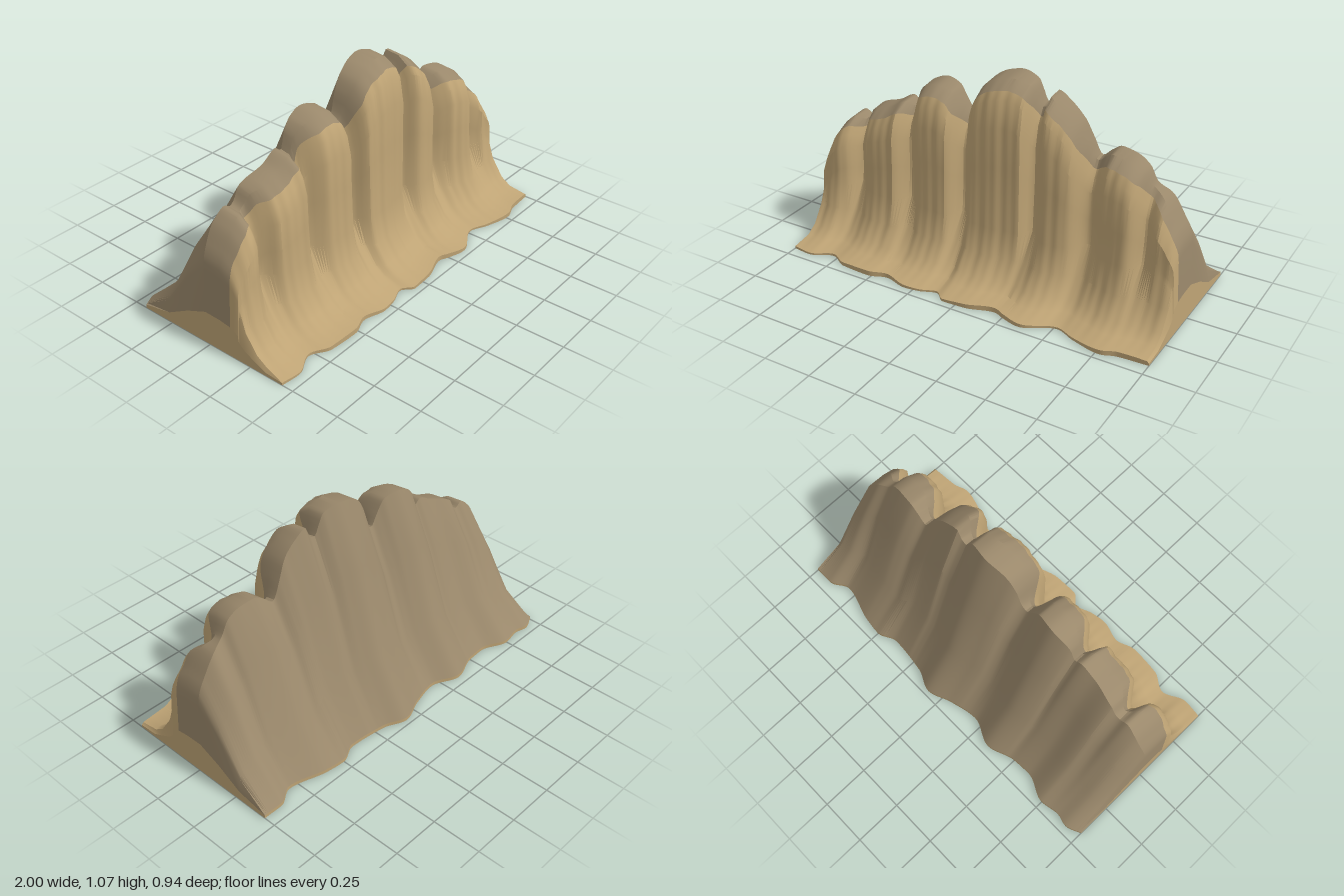
import * as THREE from 'three';
import { toCreasedNormals } from 'three/addons/utils/BufferGeometryUtils.js';

// Height of the ridge along x
const RIDGE = [[-1, .175], [-.985, .44], [-.95, .53], [-.9, .61], [-.84, .655], [-.8, .635], [-.775, .65], [-.74, .71],
  [-.6, .77], [-.52, .81], [-.48, .785], [-.45, .87], [-.4, .92], [-.32, .945], [-.25, .93], [-.2, .86], [-.16, .805],
  [-.13, .83], [-.1, .93], [-.05, 1.01], [.02, 1.05], [.1, 1.065], [.18, 1.045], [.21, .99], [.235, .94], [.265, .955],
  [.29, 1.01], [.36, .97], [.43, .9], [.47, .82], [.52, .73], [.57, .77], [.62, .8], [.7, .79], [.77, .75], [.81, .68],
  [.88, .63], [.94, .54], [.985, .44], [1, .175]];
// Wavy front and back edges of the foot
const FRONT = [[-1, .44], [-.9, .45], [-.78, .4], [-.68, .45], [-.52, .46], [-.42, .43], [-.3, .46], [-.22, .45], [-.13, .42],
  [-.07, .465], [.05, .46], [.2, .42], [.25, .44], [.35, .465], [.52, .39], [.62, .43], [.77, .465], [.85, .44], [1, .43]];
const BACK = [[-1, -.43], [-.92, -.46], [-.85, -.445], [-.75, -.46], [-.6, -.405], [-.5, -.41], [-.35, -.455], [-.2, -.4],
  [-.05, -.43], [.08, -.475], [.2, -.43], [.4, -.41], [.5, -.45], [.6, -.44], [.8, -.39], [.9, -.44], [1, -.44]];
// Crevices in the cliff face: deepest line, width to its left and right
const CREVICES = [[-.785, .06, .09], [-.475, .06, .09], [-.16, .065, .08], [.235, .05, .09], [.525, .09, .11], [.815, .06, .09]];

// Smooth curve through a key table that never overshoots its keys
function sample(keys, x) {
  let i = 0;
  while (i < keys.length - 2 && x > keys[i + 1][0]) i++;
  const slope = k => {
    const a = keys[Math.min(Math.max(k, 0), keys.length - 2)], b = keys[Math.min(Math.max(k, 0), keys.length - 2) + 1];
    return (b[1] - a[1]) / (b[0] - a[0]);
  };
  const tangent = k => {
    const a = slope(k - 1), b = slope(k);
    return a * b <= 0 ? 0 : 2 * a * b / (a + b);
  };
  const [x0, y0] = keys[i], [x1, y1] = keys[i + 1];
  const h = x1 - x0, t = (x - x0) / h, u = 1 - t;
  return y0 * (1 + 2 * t) * u * u + y1 * t * t * (3 - 2 * t) + h * t * u * (u * tangent(i) - t * tangent(i + 1));
}

// 0..1 depth of the crevices
function crevice(x) {
  let n = 0;
  for (const [c, left, right] of CREVICES) {
    const d = x - c;
    n = Math.max(n, 1 - (d < 0 ? -d / left : d / right));
  }
  return n * n * (3 - 2 * n);
}

// Cross-section at x from the front foot over the ridge to the back foot
function section(x) {
  const T = sample(RIDGE, x);
  const front = sample(FRONT, x), back = sample(BACK, x);
  const fw = front - .445, bw = back + .435;
  const ripple = .003 * Math.sin(x * 47) + .002 * Math.sin(x * 113);
  const n = crevice(x);
  const lip = Math.min(.018 + .008 * Math.sin(x * 9), T * .07);
  const drop = .05 * Math.min(1, T * 1.3), top = T - drop;
  const cut = y => THREE.MathUtils.smoothstep(y, .1, .36) * .075 * n;
  const P = (z, y) => [x, y, z];
  // z, y and how far each point follows the wave of the foot
  const face = [
    [.345, Math.min(.038, T * .1), .95], [.288, Math.min(.075, T * .24), .85], [.223, Math.min(.17, T * .42), .7],
    [.197, Math.min(.31, T * .55), .55], [.188, T * .6, .45], [.184, T * .79, .4],
    [.162, T - .09 * Math.min(1, T * 1.4), .4], [.138, top, .4],
  ].map(([z, y, w]) => P(z + fw * w + ripple - cut(y), y));
  const ridge = P(-.02 + bw * .4, T);
  const heel = P(back, .018);
  return {
    foot: [P(front, 0), P(front, lip)],
    cliff: [P(front, lip), ...face],
    crown: [face[face.length - 1], P(.075 + fw * .3 - cut(T) * .5, T - drop * .2), ridge],
    slope: [ridge, P(-.14 + bw * .5, T * .71), P(-.27 + bw * .6, T * .29), heel],
    heel: [heel, P(back, 0)],
    base: [P(back, 0), P(front, 0)],
  };
}

// Skins a grid of points, rows[i][j]
function skin(name, rows, material, crease = .5) {
  const m = rows[0].length, index = [];
  for (let i = 0; i < rows.length - 1; i++) {
    for (let j = 0; j < m - 1; j++) {
      const a = i * m + j, b = a + m;
      index.push(a, b, b + 1, a, b + 1, a + 1);
    }
  }
  const g = new THREE.BufferGeometry();
  g.setAttribute('position', new THREE.Float32BufferAttribute(rows.flat(2), 3));
  g.setIndex(index);
  const mesh = new THREE.Mesh(toCreasedNormals(g, crease), material);
  mesh.name = name;
  return mesh;
}

export function createModel() {
  const sandstone = new THREE.MeshStandardMaterial({ color: 0xbfa475 });
  sandstone.name = 'sandstone';
  const weathered = new THREE.MeshStandardMaterial({ color: 0x9a886b });
  weathered.name = 'weathered rock';

  const group = new THREE.Group();
  group.name = 'rockCliff';

  // Evenly spaced sections plus the two shoulders at the ends
  const xs = [-.985, .985];
  for (let i = 0; i <= 180; i++) xs.push(-1 + i / 90);
  xs.sort((a, b) => a - b);
  const sections = xs.map(section);

  // Long surfaces
  const parts = {
    foot: ['frontLip', sandstone], cliff: ['cliffFace', sandstone], crown: ['ridgeTop', weathered],
    slope: ['backSlope', weathered], heel: ['backLip', sandstone], base: ['underside', sandstone],
  };
  for (const [key, [name, material]] of Object.entries(parts)) {
    group.add(skin(name, sections.map(s => s[key]), material));
  }

  // Low upright end walls
  for (const side of [-1, 1]) {
    const s = sections[side < 0 ? 0 : sections.length - 1];
    const rows = [...s.cliff, ...s.crown.slice(1), ...s.slope.slice(1)].map(p => [[p[0], 0, p[2]], p]);
    if (side < 0) rows.reverse();
    group.add(skin(side < 0 ? 'rightEnd' : 'leftEnd', rows, sandstone));
  }
  return group;
}
